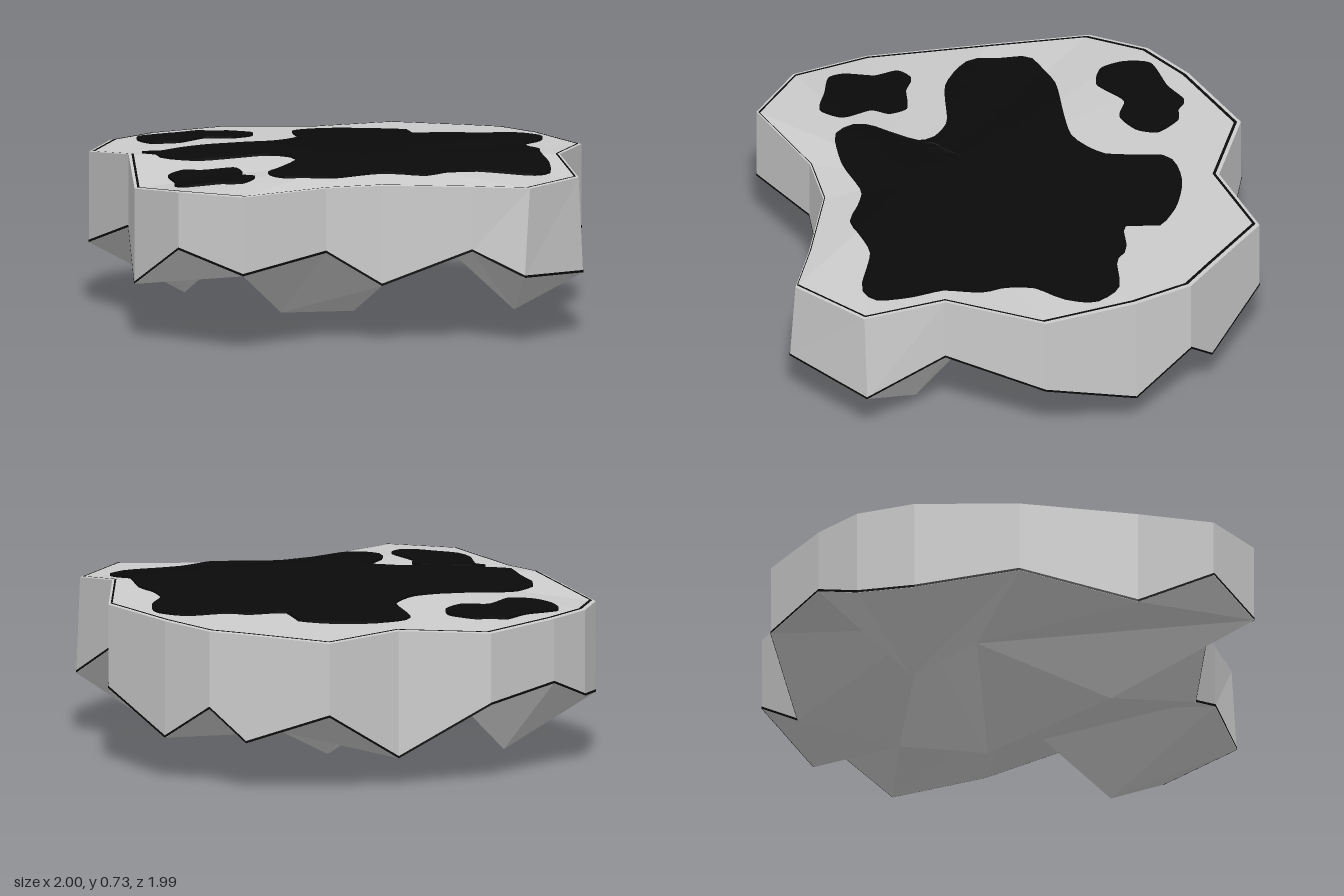
import * as THREE from 'three';

// Outline, clockwise from above: x, z, top y, bottom y
const RIM = [
  [-0.34, -1.0, 0.64, 0.34], [0.02, -0.87, 0.65, 0.115], [0.37, -1.0, 0.64, 0.33],
  [0.655, -0.77, 0.655, 0.2], [0.78, -0.67, 0.66, 0.335], [0.89, -0.43, 0.67, 0.18],
  [1.0, -0.04, 0.68, 0.33], [0.84, 0.36, 0.705, 0.42], [0.86, 0.7, 0.66, 0.26],
  [0.61, 0.96, 0.66, 0.29], [0.38, 0.88, 0.66, 0.39], [0.02, 0.78, 0.66, 0.24],
  [-0.22, 0.81, 0.66, 0.39], [-0.6, 0.99, 0.66, 0.33], [-0.84, 0.81, 0.66, 0.42],
  [-0.97, 0.49, 0.63, 0.23], [-0.91, 0.0, 0.695, 0.39], [-1.0, -0.44, 0.64, 0.26],
  [-0.87, -0.67, 0.65, 0.29], [-0.68, -0.82, 0.65, 0.38],
];
// Underside: spikes (A, C, D, L), a ridge point (H) and hollows (V, W, X)
const KEEL = {
  A: [0.63, 0.075, 0.46], C: [-0.34, 0.08, 0.41], D: [-0.6, 0.04, -0.43], L: [0.05, 0, -0.08],
  H: [0.37, 0.17, -0.43], V: [-0.25, 0.42, -0.36], W: [0.36, 0.33, 0.04], X: [-0.42, 0.28, -0.15],
};
// Underside faces: numbers are rim corners, letters are keel points
const UNDER_FACES = `0 1 V,1 H V,1 2 H,2 3 H,3 4 H,4 5 H,5 W H,5 6 W,6 7 W,7 A W,7 8 A,8 9 A,9 10 A,10 W A,
  10 11 W,11 L W,11 C L,11 12 C,12 13 C,13 14 15,13 15 X,13 X C,C X L,15 16 X,16 D X,16 17 D,17 18 D,
  18 19 D,19 V D,19 0 V,X D V,X V L,L V H,L H W`;
const PEAK = [0, 0.718, 0.38];
const N = RIM.length;
const rim = (i) => RIM[i % N];
const topAt = (i) => [rim(i)[0], rim(i)[2], rim(i)[1]];
// The two front-left corners flare outward a little at the bottom
const bottomAt = (i) => {
  const [x, z, , y] = rim(i), k = i % N;
  return [k === 8 ? 0.88 : k === 9 ? 0.585 : x, y, k === 8 ? 0.69 : k === 9 ? 0.98 : z];
};
const mix = (a, b, t) => a.map((v, k) => v + (b[k] - v) * t);
const lift = (p, d) => [p[0], p[1] + d, p[2]];

// Height of the faceted top under a point
function groundHeight(x, z) {
  const dx = x - PEAK[0], dz = z - PEAK[2];
  for (let i = 0; i < N; i++) {
    const a = topAt(i), b = topAt(i + 1);
    const ax = a[0] - PEAK[0], az = a[2] - PEAK[2], bx = b[0] - PEAK[0], bz = b[2] - PEAK[2];
    const det = ax * bz - az * bx;
    const u = (dx * bz - dz * bx) / det, v = (ax * dz - az * dx) / det;
    if (u >= -1e-6 && v >= -1e-6) return PEAK[1] + u * (a[1] - PEAK[1]) + v * (b[1] - PEAK[1]);
  }
  return PEAK[1];
}

function trianglesMesh(name, triangles, material) {
  const geometry = new THREE.BufferGeometry();
  geometry.setAttribute('position', new THREE.Float32BufferAttribute(triangles.flat(2), 3));
  geometry.computeVertexNormals();
  const mesh = new THREE.Mesh(geometry, material);
  mesh.name = name;
  return mesh;
}
const quad = (a, b, c, d) => [[a, b, c], [a, c, d]];

// Thin patch draped on the top: rings shrinking to a centre
function patch(name, centre, outline, material) {
  const curve = new THREE.CatmullRomCurve3(
    outline.map(([x, z]) => new THREE.Vector3(x, 0, z)), true, 'catmullrom', 0.35);
  const pts = curve.getSpacedPoints(120);
  const rings = 10, tris = [];
  const at = (i, r) => {
    const t = r / rings;
    const x = centre[0] + (pts[i].x - centre[0]) * t, z = centre[1] + (pts[i].z - centre[1]) * t;
    return [x, groundHeight(x, z) + 0.01, z];
  };
  for (let i = 0; i < 120; i++) {
    for (let r = 0; r < rings; r++) tris.push(...quad(at(i, r + 1), at(i, r), at(i + 1, r), at(i + 1, r + 1)));
    // Edge skirt
    const a = at(i, rings), b = at(i + 1, rings);
    tris.push(...quad(a, b, lift(b, -0.01), lift(a, -0.01)));
  }
  return trianglesMesh(name, tris, material);
}

export function createModel() {
  const group = new THREE.Group();
  const rock = new THREE.MeshStandardMaterial({ color: 0xcccccc, flatShading: true });
  const dark = new THREE.MeshStandardMaterial({ color: 0x0a0a0a, side: THREE.DoubleSide });

  const top = [], wall = [], topLine = [], bottomLine = [];
  for (let i = 0; i < N; i++) {
    const a = topAt(i), b = topAt(i + 1), c = bottomAt(i + 1), d = bottomAt(i);
    top.push([PEAK, b, a]);
    wall.push(...quad(a, b, c, d));

    // Dark seams just inside the top edge and along the lower edge
    const inset = (p, t) => lift(mix(p, PEAK, t), 0.003);
    topLine.push(...quad(inset(a, 0.012), inset(a, 0.022), inset(b, 0.022), inset(b, 0.012)));
    const out = (p, dy) => [p[0] * 1.002, p[1] + dy, p[2] * 1.002];
    bottomLine.push(...quad(out(d, 0.01), out(c, 0.01), out(c, 0), out(d, 0)));
  }
  const under = UNDER_FACES.split(',').map((face) =>
    face.trim().split(' ').map((key) => KEEL[key] ?? bottomAt(Number(key))));

  group.add(
    trianglesMesh('topGround', top, rock),
    trianglesMesh('sideWall', wall, rock),
    trianglesMesh('rockyUnderside', under, rock),
    trianglesMesh('upperSeam', topLine, dark),
    trianglesMesh('lowerSeam', bottomLine, dark),
  );

  // Ground patches
  group.add(patch('mainPatch', [0.01, 0], [
    [-0.11, -0.65], [-0.04, -0.7], [0.08, -0.71], [0.23, -0.67], [0.35, -0.6], [0.36, -0.57], [0.36, -0.45],
    [0.38, -0.43], [0.52, -0.43], [0.6, -0.38], [0.78, -0.37], [0.87, -0.26], [0.84, -0.13], [0.76, -0.02],
    [0.75, 0.1], [0.78, 0.2], [0.76, 0.36], [0.77, 0.5], [0.75, 0.64], [0.66, 0.69], [0.44, 0.63],
    [0.23, 0.69], [0.13, 0.65], [0.02, 0.62], [-0.18, 0.68], [-0.36, 0.69], [-0.42, 0.62], [-0.41, 0.53],
    [-0.27, 0.36], [-0.28, 0.28], [-0.38, 0.22], [-0.64, 0.2], [-0.79, 0.1], [-0.81, -0.05], [-0.83, -0.16],
    [-0.79, -0.2], [-0.64, -0.26], [-0.4, -0.27], [-0.25, -0.29], [-0.13, -0.41],
  ], dark));
  group.add(patch('backPatch', [-0.53, -0.6], [
    [-0.49, -0.78], [-0.43, -0.75], [-0.36, -0.74], [-0.28, -0.65], [-0.3, -0.56], [-0.39, -0.5],
    [-0.5, -0.53], [-0.62, -0.43], [-0.73, -0.46], [-0.77, -0.56], [-0.75, -0.67], [-0.59, -0.72],
  ], dark));
  group.add(patch('frontPatch', [-0.66, 0.53], [
    [-0.74, 0.33], [-0.66, 0.36], [-0.53, 0.37], [-0.51, 0.45], [-0.54, 0.52], [-0.49, 0.64],
    [-0.56, 0.73], [-0.67, 0.7], [-0.79, 0.67], [-0.82, 0.6], [-0.8, 0.48], [-0.81, 0.38],
  ], dark));
  return group;
}
